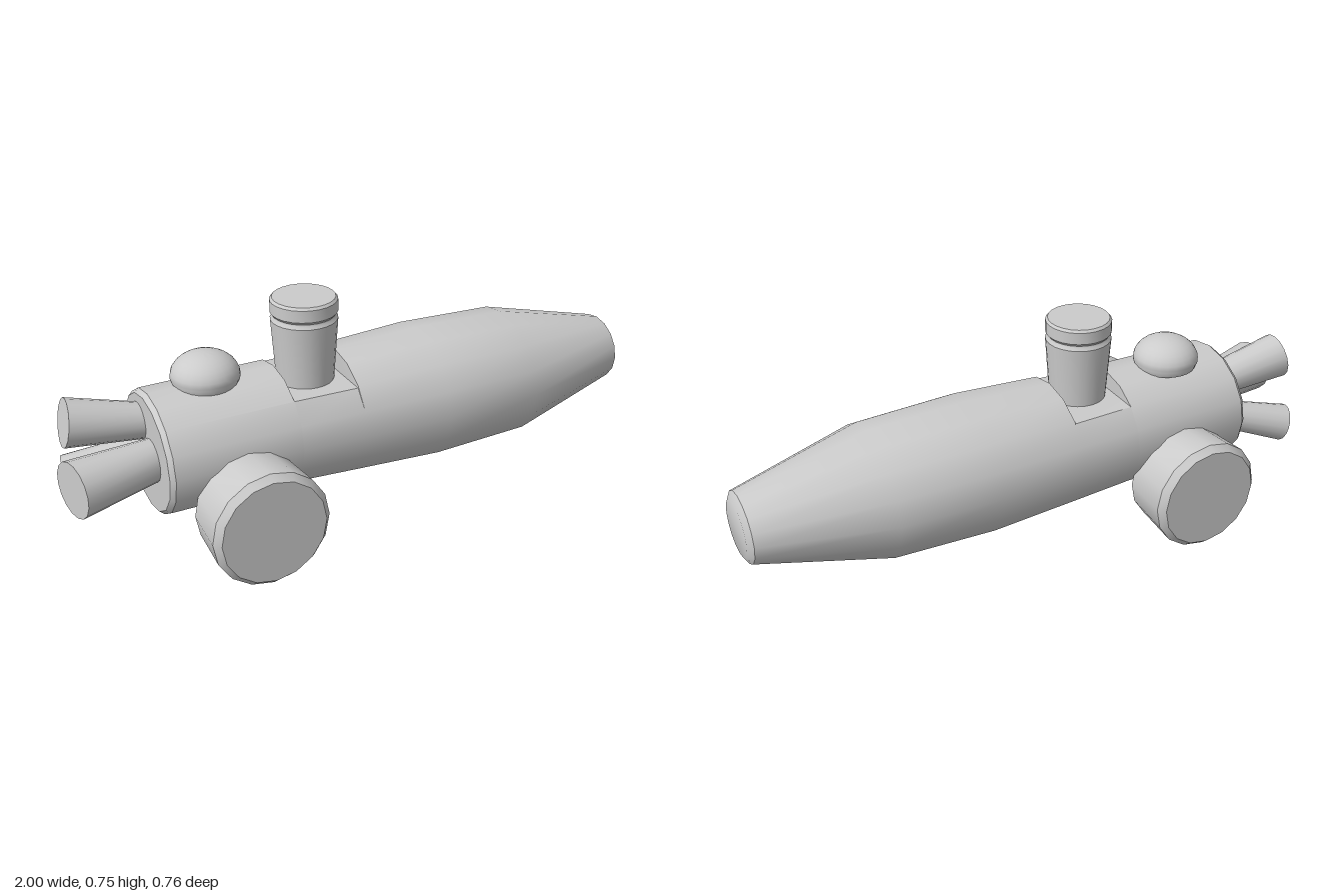
import * as THREE from 'three';
import { toCreasedNormals } from 'three/addons/utils/BufferGeometryUtils.js';

const material = new THREE.MeshStandardMaterial({ color: 0xcccccc });

// Lathe from [radius, height] pairs, listed from bottom to top
const turned = (profile, sides = 16) =>
  new THREE.LatheGeometry(profile.map(([r, h]) => new THREE.Vector2(r, h)), sides);

function addPart(group, name, geometry) {
  const mesh = new THREE.Mesh(toCreasedNormals(geometry, 0.6), material);
  mesh.name = name;
  group.add(mesh);
  return mesh;
}

// Hull along x, slightly wider than tall, with a flat-floored notch for the turret
function hullGeometry() {
  const notchBack = -0.28, notchFront = -0.065, e = 0.0002;
  const geometry = turned([
    [0, -0.71], [0.185, -0.71], [0.197, -0.695],
    [0.2, notchBack - e], [0.2, notchBack + e],
    [0.211, notchFront - e], [0.211, notchFront + e],
    [0.2255, 0.23], [0.215, 0.57], [0.113, 0.985], [0.088, 1], [0, 1],
  ]);
  geometry.rotateZ(-Math.PI / 2);
  geometry.scale(1, 1, 1.09);
  geometry.translate(0, 0.338, -0.01);
  const p = geometry.attributes.position;
  for (let i = 0; i < p.count; i++) {
    const x = p.getX(i);
    if (x > notchBack && x < notchFront) p.setY(i, Math.min(p.getY(i), 0.48));
  }
  return geometry;
}

export function createModel() {
  const model = new THREE.Group();

  addPart(model, 'hull', hullGeometry());

  // Turret with a groove below its cap
  addPart(model, 'turret', turned([
    [0, 0.47], [0.092, 0.47], [0.107, 0.686], [0.1, 0.697],
    [0.1, 0.701], [0.107, 0.71], [0.107, 0.749], [0.1, 0.757], [0, 0.757],
  ], 24)).position.set(-0.175, 0, 0);

  // Flattened dome with a tucked-in rim
  const dome = [[0, 0.52], [0.1, 0.52], [0.108, 0.54]];
  for (let i = 0; i <= 8; i++) {
    const a = (i / 8) * Math.PI / 2;
    dome.push([0.109 * Math.cos(a), 0.547 + 0.078 * Math.sin(a)]);
  }
  addPart(model, 'dome', turned(dome, 24)).position.set(-0.5, 0, -0.03);

  // Side drums, one on each side
  for (const side of [1, -1]) {
    const drum = turned([
      [0, 0.167], [0.158, 0.167], [0.178, 0.187], [0.19, 0.357], [0.17, 0.38], [0, 0.38],
    ]);
    drum.rotateX(side * Math.PI / 2);
    addPart(model, side > 0 ? 'frontDrum' : 'backDrum', drum).position.set(-0.46, 0.194, 0);
  }

  // Splayed, flaring exhaust nozzles: root, end, root radius, end radius
  const nozzles = [
    [[-0.71, 0.336, 0.04], [-0.976, 0.336, 0.103], 0.068, 0.09],
    [[-0.71, 0.425, -0.06], [-0.94, 0.466, -0.075], 0.058, 0.077],
    [[-0.71, 0.305, -0.1], [-0.925, 0.242, -0.158], 0.048, 0.064],
  ];
  const up = new THREE.Vector3(0, 1, 0);
  nozzles.forEach(([root, end, r0, r1], i) => {
    const start = new THREE.Vector3(...root);
    const axis = new THREE.Vector3(...end).sub(start);
    const length = axis.length();
    const nozzle = addPart(model, `nozzle${i + 1}`,
      turned([[0, -0.04], [r0, -0.04], [r0, 0], [r1, length], [0, length]]));
    nozzle.position.copy(start);
    nozzle.quaternion.setFromUnitVectors(up, axis.normalize());
  });

  return model;
}
